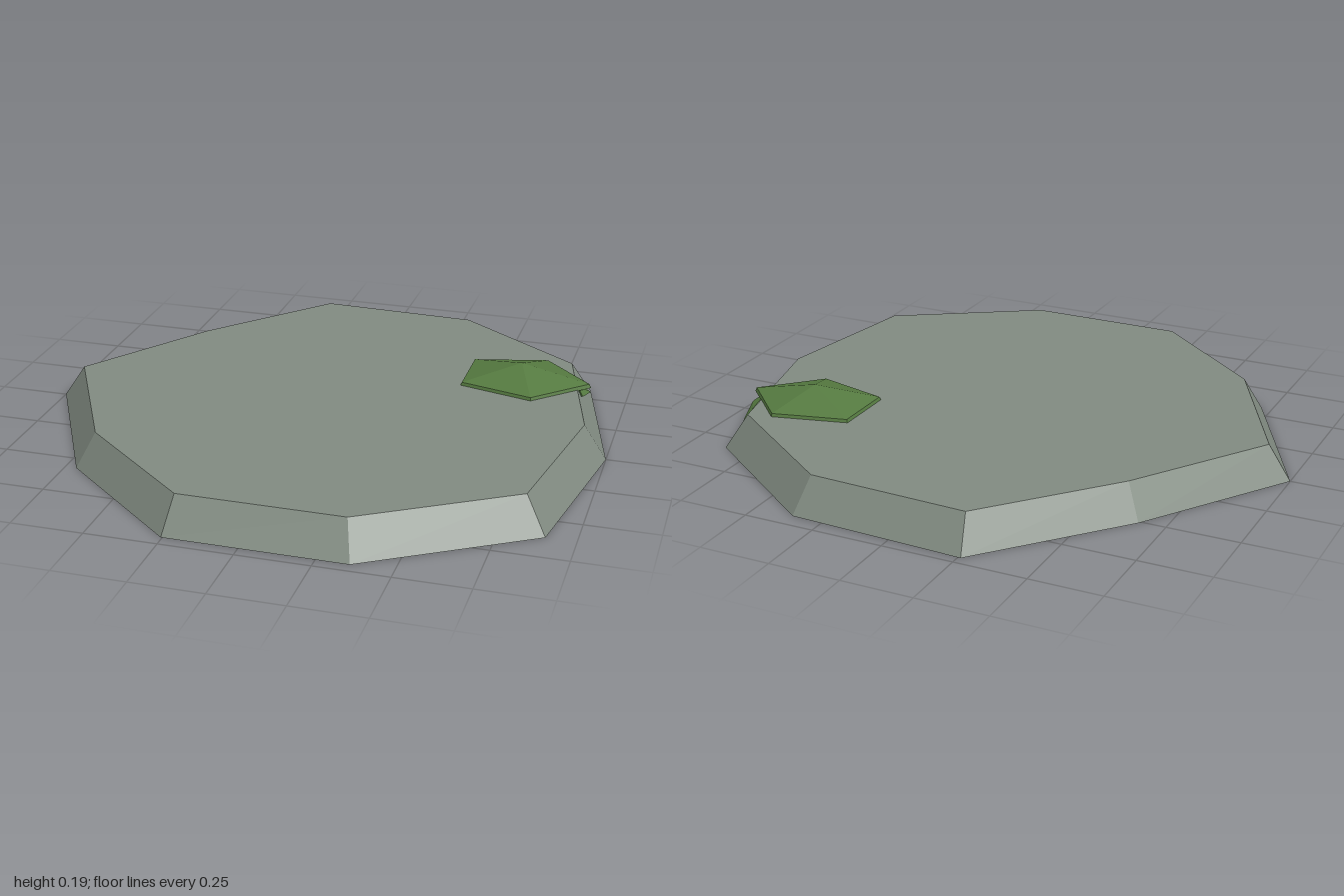
import * as THREE from 'three';
import { ConvexGeometry } from 'three/addons/geometries/ConvexGeometry.js';

// Convex faceted solid from a list of [x, y, z] corners
function facet(points, material, name) {
  const geometry = new ConvexGeometry(points.map((p) => new THREE.Vector3(...p)));
  const mesh = new THREE.Mesh(geometry, material);
  mesh.name = name;
  return mesh;
}

// Ring of corners: an outline of [x, z] scaled about a centre at height y
const ring = (outline, y, scale, cx = 0, cz = 0) =>
  outline.map(([x, z]) => [cx + (x - cx) * scale, y, cz + (z - cz) * scale]);

// Closed, flat-sided solid between two rings, capped by an apex and a flat base
function loft(bottom, top, apex, material, name) {
  const pos = [];
  const n = bottom.length;
  const mid = [0, 1, 2].map((k) => bottom.reduce((s, p) => s + p[k], 0) / n);
  for (let i = 0; i < n; i++) {
    const j = (i + 1) % n;
    pos.push(...bottom[i], ...top[j], ...top[i], ...bottom[i], ...bottom[j], ...top[j]);
    pos.push(...apex, ...top[i], ...top[j]);
    pos.push(...mid, ...bottom[j], ...bottom[i]);
  }
  const geometry = new THREE.BufferGeometry();
  geometry.setAttribute('position', new THREE.Float32BufferAttribute(pos, 3));
  geometry.computeVertexNormals();
  const mesh = new THREE.Mesh(geometry, material);
  mesh.name = name;
  return mesh;
}

export function createModel() {
  const stone = new THREE.MeshStandardMaterial({ color: 0x808a80, flatShading: true });
  stone.name = 'grey stone';
  const moss = new THREE.MeshStandardMaterial({ color: 0x557a40, flatShading: true });
  moss.name = 'green moss';

  const group = new THREE.Group();
  group.name = 'mossySteppingStone';

  // Stone slab with sloping sides, outline running from left round the front
  const slab = [
    [-1, 0], [-0.71, 0.57], [-0.255, 0.957], [0.36, 0.96], [0.9, 0.62],
    [1, 0], [0.86, -0.58], [0.36, -0.94], [-0.26, -0.967], [-0.66, -0.51],
  ];
  group.add(loft(ring(slab, 0, 1), ring(slab, 0.12, 0.92), [0, 0.12, 0], stone, 'stoneSlab'));

  // Low peaked moss pad overhanging the edge
  const pad = [[0.44, -0.45], [0.44, -0.218], [0.707, -0.148], [0.892, -0.332], [0.707, -0.517]];
  group.add(loft(
    ring(pad, 0.117, 1, 0.64, -0.332),
    ring(pad, 0.131, 0.975, 0.64, -0.332),
    [0.64, 0.185, -0.332], moss, 'mossPad'));

  // Small moss tuft clinging to the slope below the pad
  group.add(facet([
    [0.84, 0.126, -0.33], [0.872, 0.102, -0.28], [0.887, 0.088, -0.36],
    [0.868, 0.05, -0.455], [0.845, 0.092, -0.42], [0.8, 0.06, -0.36],
  ], moss, 'mossTuft'));

  return group;
}
